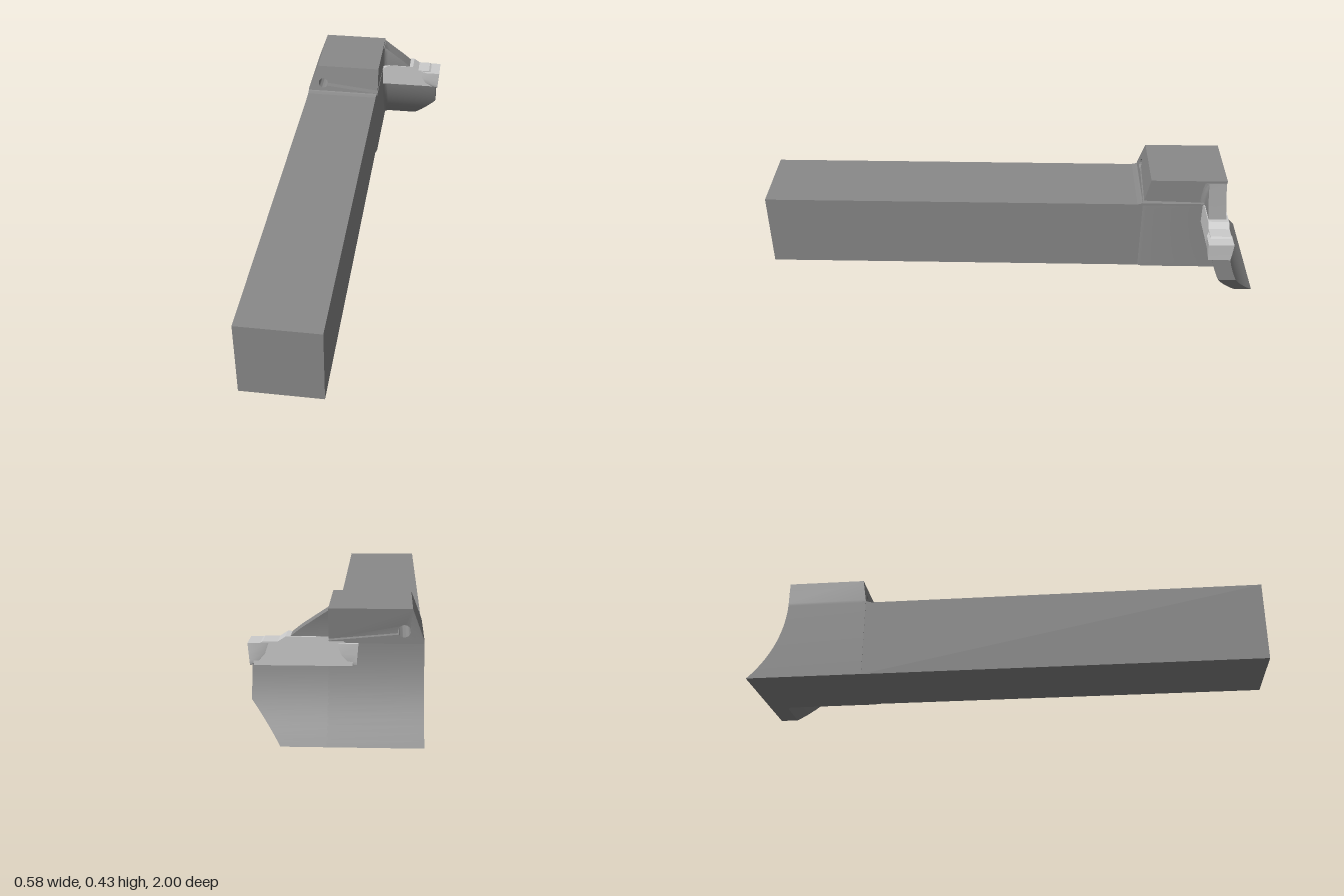
import * as THREE from 'three';
import { toCreasedNormals } from 'three/addons/utils/BufferGeometryUtils.js';

const steel = new THREE.MeshStandardMaterial({ color: 0x898989 });
const carbide = new THREE.MeshStandardMaterial({ color: 0xcccccc });

// Concave back about an axis parallel to x; the blade front runs parallel to it.
const backZ = (y) => -1.296 + Math.sqrt(0.436 ** 2 - (y - 0.32) ** 2);
const bladeZ = (y) => backZ(y) + 0.07;
// Sloping front of the raised clamp block.
const clampZ = (y) => -0.543 - (y - 0.31) * 0.225;
// Upper edge of the clamping slit.
const slitTop = (x) => 0.3353 - x * 0.0945;

const range = (a, b, n) => Array.from({ length: n + 1 }, (_, i) => a + ((b - a) * i) / n);

// Solid through horizontal sections; section(y) gives [x, z] corners, front edge first.
function loft(ys, section) {
  const rows = ys.map(section);
  const n = rows[0].length;
  const pos = [];
  const idx = [];
  rows.forEach((row, j) => row.forEach(([x, z]) => pos.push(x, ys[j], z)));
  for (let j = 0; j < rows.length - 1; j++) {
    for (let i = 0; i < n; i++) {
      const a = j * n + i;
      const b = j * n + ((i + 1) % n);
      idx.push(a, b, b + n, a, b + n, a + n);
    }
  }
  const cap = (row, base, flip) => {
    const pts = row.map(([x, z]) => new THREE.Vector2(x, -z));
    for (const [a, b, c] of THREE.ShapeUtils.triangulateShape(pts, [])) {
      idx.push(base + a, base + (flip ? c : b), base + (flip ? b : c));
    }
  };
  cap(rows[0], 0, true);
  cap(rows[rows.length - 1], (rows.length - 1) * n, false);
  const g = new THREE.BufferGeometry();
  g.setAttribute('position', new THREE.Float32BufferAttribute(pos, 3));
  g.setIndex(idx);
  return toCreasedNormals(g, 0.5);
}

// Unit extrusion along z; place(x, y, isBack) returns the final [y, z] of each vertex.
function extrude(shape, place) {
  const g = new THREE.ExtrudeGeometry(shape, { depth: 1, bevelEnabled: false, curveSegments: 28 });
  const p = g.attributes.position;
  for (let i = 0; i < p.count; i++) {
    const [y, z] = place(p.getX(i), p.getY(i), p.getZ(i) < 0.5);
    p.setY(i, y);
    p.setZ(i, z);
  }
  return toCreasedNormals(g, 0.5);
}

// Blade section with a small fillet where it meets the head.
const bladeSection = (y, x1) => {
  const f = bladeZ(y);
  const fillet = range(0, Math.PI / 2, 5).map((t) => [
    Math.min(0.023 + 0.022 * (1 - Math.cos(t)), x1 - 0.001), f + 0.022 * (1 - Math.sin(t)),
  ]);
  return [...fillet, [x1, f], [x1, backZ(y)], [0.02, backZ(y)]];
};

export function createModel() {
  const model = new THREE.Group();
  const add = (name, geometry, material) => {
    const mesh = new THREE.Mesh(geometry, material);
    mesh.name = name;
    model.add(mesh);
    return mesh;
  };

  // Square shank
  add('shank', new THREE.BoxGeometry(0.308, 0.31, 1.545), steel).position.set(-0.136, 0.155, 0.2275);

  // Head below the clamp, with the concave back
  add('head', loft(range(0, 0.31, 16), (y) => [
    [-0.291, -0.545], [0.018, -0.545], [0.024, -0.56], [0.024, backZ(y)], [-0.291, backZ(y)],
  ]), steel);

  // Raised clamp block with relief hole; the slit narrows toward the back
  const block = new THREE.Shape();
  block.moveTo(-0.291, 0.31);
  block.lineTo(0.024, 0.31);
  block.lineTo(0.024, 0.319);
  block.absarc(-0.225, 0.353, 0.021, -0.6, 0.08, true);
  block.lineTo(0.024, slitTop(0.024));
  block.lineTo(0.024, 0.43);
  block.lineTo(-0.252, 0.43);
  block.lineTo(-0.291, 0.322);
  add('clampBlock', extrude(block, (x, y, isBack) => {
    const onSlitTop = x > -0.2045 && Math.abs(y - slitTop(x)) < 0.002;
    return [isBack && onSlitTop ? y - 0.008 : y, isBack ? backZ(y) : clampZ(y)];
  }), steel);

  // Hollow fillet at the foot of the clamp block
  add('clampFoot', loft(range(0.31, 0.318, 5), (y) => {
    const z = -0.545 + 0.022 * (1 - (y - 0.31) / 0.008) ** 2;
    return [[-0.291, z], [0.018, z], [0.018, -0.56], [-0.291, -0.56]];
  }), steel);

  // Curved support blade with its cut-off lower corner
  add('supportBlade', loft([...range(0, 0.13, 8), ...range(0.145, 0.235, 6)], (y) =>
    bladeSection(y, y < 0.13 ? 0.172 + (y / 0.13) * 0.103 : 0.275)), steel);

  // Clamp finger above the insert
  add('clampFinger', loft([0.332, 0.345, 0.36, 0.38, 0.4, 0.42], (y) =>
    bladeSection(y, y < 0.36 ? 0.15 - (y - 0.332) * 1.25 : 0.115 - (y - 0.36) * 1.45)), steel);

  // Double-ended insert body, symmetric about its middle
  const middle = 0.1075;
  const half = [[0.163, 0.235], [0.168, 0.308], [0.143, 0.31], [0.133, 0.316], [0.083, 0.316], [0.0575, 0.333]];
  const outline = [...half, ...half.map(([x, y]) => [-x, y]).reverse()];
  const insert = new THREE.Shape(outline.map(([x, y]) => new THREE.Vector2(middle + x, y)));
  add('insertBody', extrude(insert, (x, y, isBack) => [y, isBack ? -0.869 : -0.787]), carbide);

  // Wider cutting tips, tapering downward for clearance: [y, inner x, outer x, half width]
  const tipRows = [
    [0.235, 0.255, 0.284, 0.043], [0.25, 0.225, 0.285, 0.045], [0.275, 0.208, 0.287, 0.047], [0.311, 0.2, 0.29, 0.049],
  ];
  const tipZ = -0.824;
  const tip = loft(tipRows.map((r) => r[0]), (y) => {
    const [, x0, x1, h] = tipRows.find((r) => r[0] === y);
    return [[x0, tipZ + 0.036], [x0 + 0.03, tipZ + h], [x1, tipZ + h], [x1, tipZ - h], [x0 + 0.03, tipZ - h], [x0, tipZ - 0.036]];
  });
  add('cuttingTip', tip, carbide);
  const spare = add('spareTip', tip, carbide);
  spare.rotation.y = Math.PI;
  spare.position.set(2 * middle, 0, 2 * tipZ);

  return model;
}
